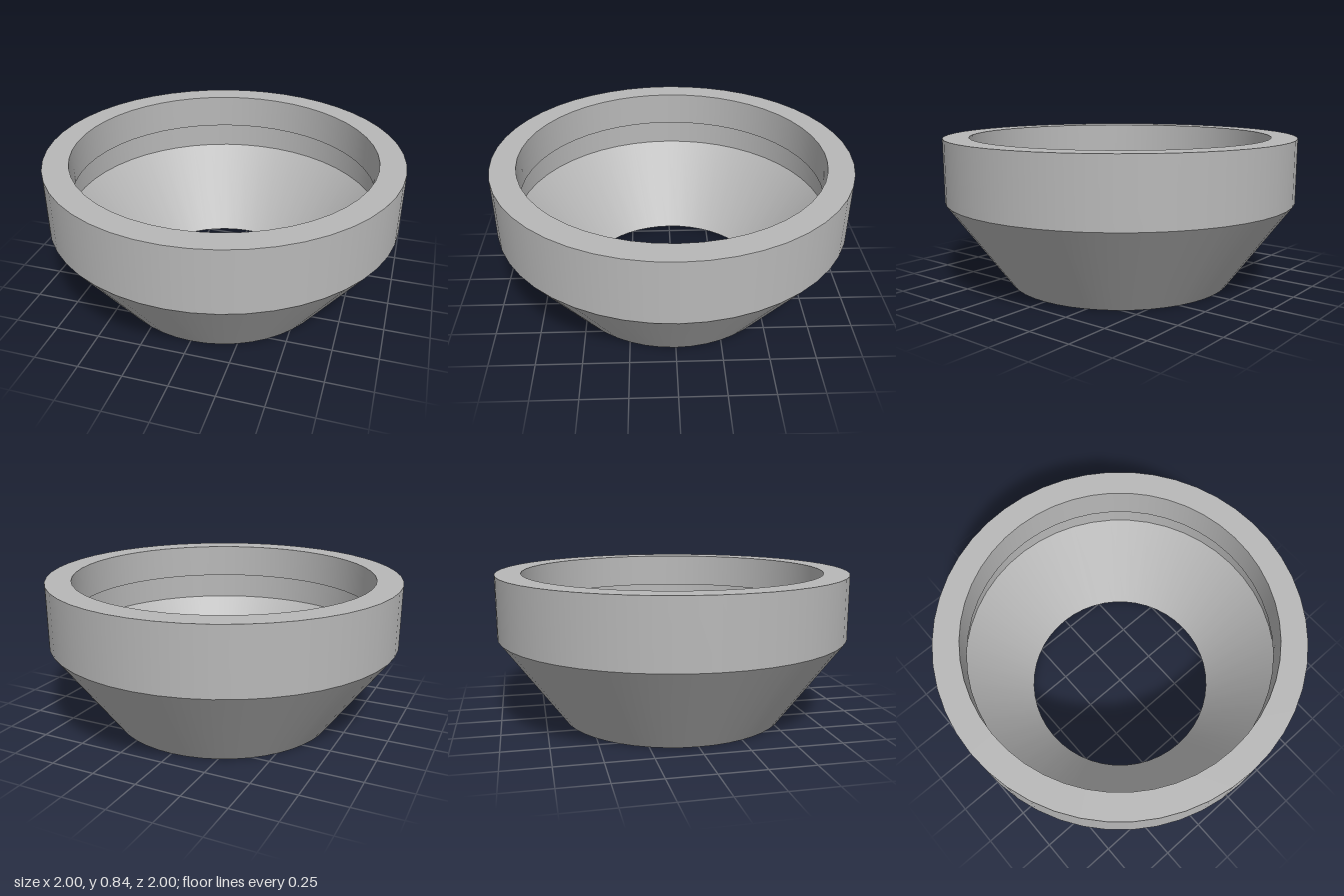
import * as THREE from 'three';

export function createModel() {
  const group = new THREE.Group();
  group.name = 'funnelRing';
  const grey = new THREE.MeshStandardMaterial({ color: 0xb8b8b8 });
  grey.name = 'grey';

  // Closed cross-section [radius, height], outside upwards then inside downwards;
  // each name is the band that starts at that point.
  const profile = [
    ['outerCone', 0.643, 0],
    ['outerBand', 1, 0.487],
    ['topRim', 1, 0.842],
    ['lipBore', 0.857, 0.842],
    ['lipUnderside', 0.857, 0.643],
    ['innerBand', 0.898, 0.643],
    ['innerCone', 0.898, 0.482],
    ['bottomRim', 0.556, 0],
  ];

  // One lathe per band keeps the corners sharp and the walls smooth
  profile.forEach(([name, r, y], i) => {
    const [, r2, y2] = profile[(i + 1) % profile.length];
    const points = [new THREE.Vector2(r, y), new THREE.Vector2(r2, y2)];
    const band = new THREE.Mesh(new THREE.LatheGeometry(points, 48), grey);
    band.name = name;
    group.add(band);
  });

  return group;
}
